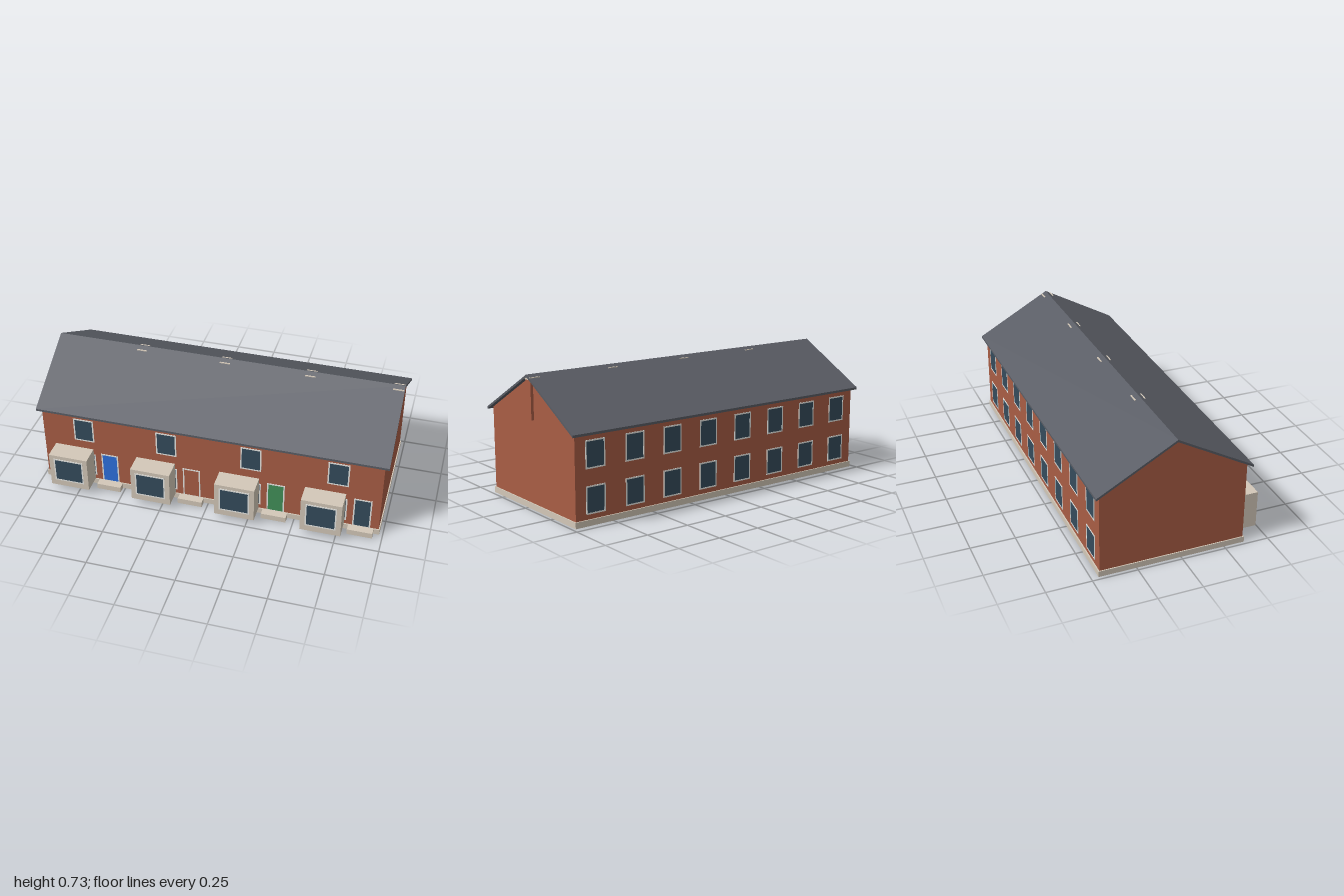
import * as THREE from 'three';

const mat = (name, color) => {
  const m = new THREE.MeshStandardMaterial({ color });
  m.name = name;
  return m;
};

export function createModel() {
  const brick = mat('brick', 0xa95d45);
  const slate = mat('slate', 0x5a5d65);
  const stone = mat('stone', 0xd3c8b8);
  const trim = mat('window trim', 0xeeeeea);
  const glass = mat('glass', 0x354c5c);
  const blue = mat('blue paint', 0x2d6fdc);
  const green = mat('green paint', 0x419059);

  const terrace = new THREE.Group();
  terrace.name = 'terrace';

  // Box given by its min and max corners
  function box(name, material, x0, x1, y0, y1, z0, z1, parent = terrace) {
    const mesh = new THREE.Mesh(new THREE.BoxGeometry(x1 - x0, y1 - y0, z1 - z0), material);
    mesh.position.set((x0 + x1) / 2, (y0 + y1) / 2, (z0 + z1) / 2);
    mesh.name = name;
    parent.add(mesh);
  }

  // Profile of [z, y] points extruded along x, centred
  function extrudeX(name, material, points, length) {
    const shape = new THREE.Shape(points.map(([z, y]) => new THREE.Vector2(-z, y)));
    const geo = new THREE.ExtrudeGeometry(shape, { depth: length, bevelEnabled: false });
    geo.translate(0, 0, -length / 2);
    geo.rotateY(Math.PI / 2);
    const mesh = new THREE.Mesh(geo, material);
    mesh.name = name;
    terrace.add(mesh);
  }

  // Nearly flush framed panel on a wall plane; dir is +1 on the front, -1 on the back
  function framed(name, panel, x, y0, w, h, z, dir = 1, sill = 0.008) {
    const bar = 0.008;
    const g = new THREE.Group();
    g.name = name;
    const s = new THREE.Shape();
    s.moveTo(-w / 2, 0).lineTo(w / 2, 0).lineTo(w / 2, h).lineTo(-w / 2, h).closePath();
    const hole = new THREE.Path();
    hole.moveTo(-w / 2 + bar, sill).lineTo(-w / 2 + bar, h - bar);
    hole.lineTo(w / 2 - bar, h - bar).lineTo(w / 2 - bar, sill).closePath();
    s.holes.push(hole);
    const frame = new THREE.Mesh(new THREE.ExtrudeGeometry(s, { depth: 0.002, bevelEnabled: false }), trim);
    frame.name = 'frame';
    g.add(frame);
    box('panel', panel, -w / 2 + bar, w / 2 - bar, sill, h - bar, -0.001, 0.0015, g);
    g.position.set(x, y0, z);
    if (dir < 0) g.rotation.y = Math.PI;
    terrace.add(g);
  }

  const FRONT = 0.36, BACK = -0.453, RIDGE = -0.047, BASE = 0.033;
  const TOP = 0.727, SOFFIT = 0.714;
  const roofY = (z, top) => top - Math.abs(z - RIDGE) * 0.557;

  // Brick shell with gables
  extrudeX('walls', brick, [
    [FRONT, BASE], [BACK, BASE], [BACK, roofY(BACK, SOFFIT)], [RIDGE, SOFFIT], [FRONT, roofY(FRONT, SOFFIT)],
  ], 1.95);

  // Pitched roof, two thin slopes in one section
  const z0 = 0.384, z1 = -0.478;
  extrudeX('roof', slate, [
    [z0, roofY(z0, SOFFIT)], [RIDGE, SOFFIT], [z1, roofY(z1, SOFFIT)],
    [z1, roofY(z1, TOP)], [RIDGE, TOP], [z0, roofY(z0, TOP)],
  ], 2);

  // Plinth: floor slab on shallow footings around and between the houses
  const pitch = 0.4875, FOOT = 0.012;
  box('plinth', stone, -0.981, 0.981, FOOT, BASE, -0.46, 0.367);
  box('frontFooting', stone, -0.981, 0.981, 0, FOOT, 0.355, 0.367);
  box('backFooting', stone, -0.981, 0.981, 0, FOOT, -0.46, -0.448);
  for (let i = -2; i <= 2; i++) {
    const x = i * pitch;
    box('crossFooting', stone, Math.max(x - 0.018, -0.981), Math.min(x + 0.018, 0.981), 0, FOOT, -0.448, 0.355);
  }

  const W = 0.119, H = 0.149;
  [blue, brick, green, glass].forEach((paint, i) => {
    const x = (i - 1.5) * pitch;

    // Front windows and projecting bay
    framed('upperWindow', glass, x, 0.296, W, H, FRONT);
    framed('lowerWindow', glass, x, 0.059, W, H, FRONT);
    const bay = x - 0.065;
    box('bay', stone, bay - 0.114, bay + 0.114, BASE, 0.244, FRONT - 0.005, 0.473);
    framed('bayWindow', glass, bay, 0.07, 0.174, 0.152, 0.473);

    // Front door and step
    const door = x + 0.145;
    framed('door', paint, door, BASE, 0.101, 0.19, FRONT, 1, 0.002);
    box('step', stone, door - 0.071, door + 0.071, 0, BASE, 0.366, 0.408);

    // Back windows, two columns on two floors
    for (const dx of [-0.122, 0.122]) {
      for (const y of [0.059, 0.296]) framed('backWindow', glass, x + dx, y, W, H, BACK, -1);
    }

    // Chimney sunk in the ridge at the house's left party wall
    const cx = x + 0.235;
    box('chimney', brick, cx - 0.024, cx + 0.024, 0.488, 0.7, RIDGE - 0.024, RIDGE + 0.024);
    box('chimneyCap', stone, cx - 0.03, cx + 0.03, 0.699, 0.714, RIDGE - 0.031, RIDGE + 0.031);
  });

  return terrace;
}
